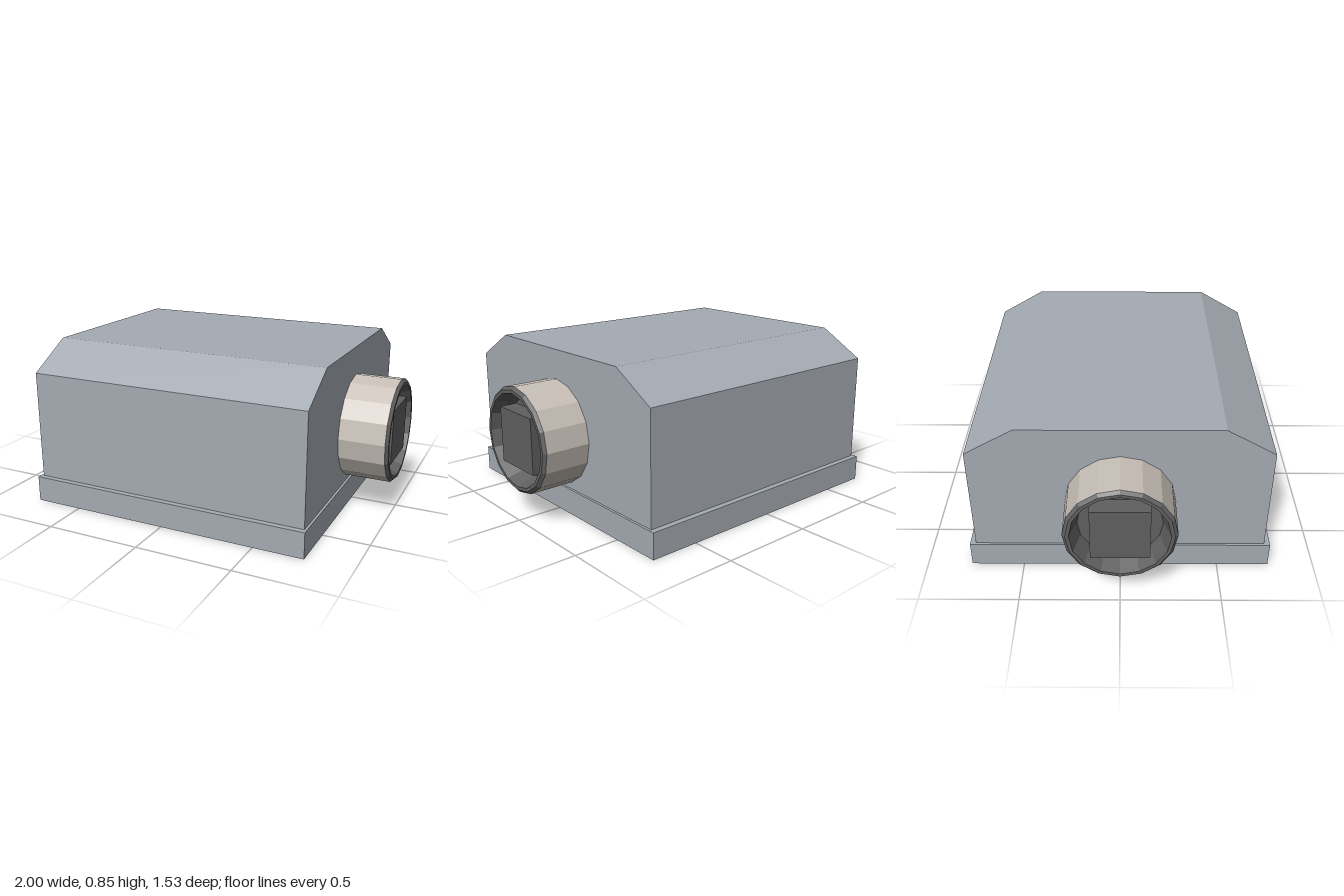
import * as THREE from 'three';

export function createModel() {
  const group = new THREE.Group();
  const paint = (color) => new THREE.MeshStandardMaterial({ color, flatShading: true });
  const housingMat = paint(0xa5abb3);
  const metalMat = paint(0xc8c0b8);
  const darkMat = paint(0x606060);

  const add = (parent, name, geometry, material) => {
    const mesh = new THREE.Mesh(geometry, material);
    mesh.name = name;
    parent.add(mesh);
    return mesh;
  };

  // Base plate
  add(group, 'basePlate', new THREE.BoxGeometry(1.515, 0.135, 1.535), housingMat)
    .position.set(0.003, 0.0675, -0.002);

  // Housing: chamfered section swept from side to side
  const section = new THREE.Shape([
    [-0.738, 0.13], [0.738, 0.13], [0.738, 0.705],
    [0.497, 0.845], [-0.497, 0.845], [-0.738, 0.705],
  ].map(([x, y]) => new THREE.Vector2(x, y)));
  const housing = new THREE.ExtrudeGeometry(section, { depth: 1.49, bevelEnabled: false });
  housing.translate(0, 0, -0.745).rotateY(Math.PI / 2);
  add(group, 'housing', housing, housingMat).position.set(0.003, 0, -0.002);

  // Turned part around the x axis from [radius, x] points
  const turned = (points) => new THREE.LatheGeometry(
    points.map(([r, x]) => new THREE.Vector2(r, x)), 16).rotateZ(-Math.PI / 2);

  // Side connectors: sleeve, dark recessed rim and square plug
  for (const side of [1, -1]) {
    const connector = new THREE.Group();
    connector.name = side > 0 ? 'leftConnector' : 'rightConnector';
    connector.position.y = 0.422;
    connector.rotation.y = side > 0 ? 0 : Math.PI;
    add(connector, 'sleeve', turned([[0.272, 0.7], [0.272, 0.985]]), metalMat);
    add(connector, 'rim', turned([
      [0.272, 0.985], [0.257, 1], [0.24, 1], [0.205, 0.9], [0, 0.9],
    ]), darkMat);
    add(connector, 'plug', new THREE.BoxGeometry(0.1, 0.286, 0.286), darkMat)
      .position.x = 0.94;
    group.add(connector);
  }
  return group;
}
